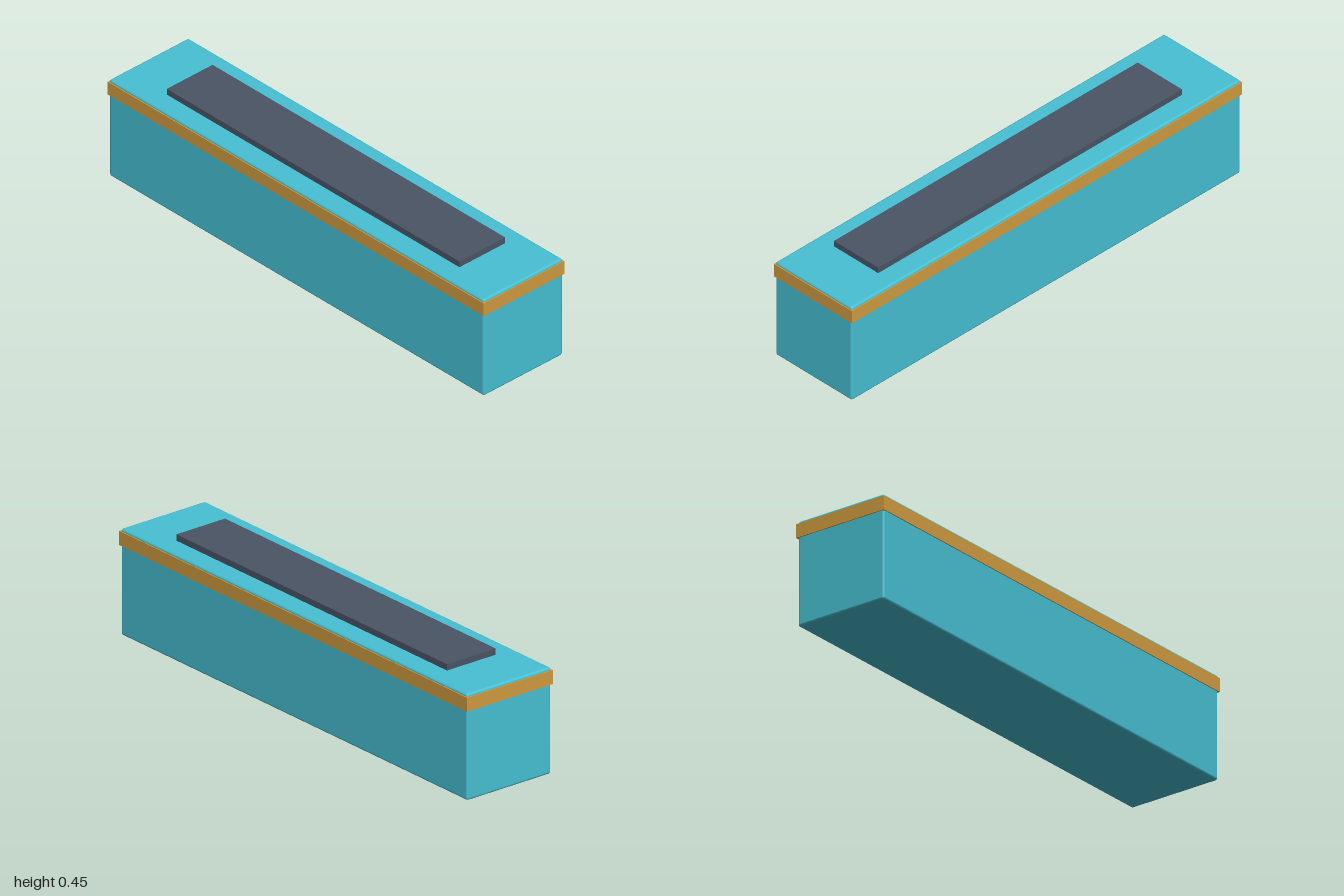
import * as THREE from 'three';
import { RoundedBoxGeometry } from 'three/addons/geometries/RoundedBoxGeometry.js';

function material(name, color) {
  const m = new THREE.MeshStandardMaterial({ color });
  m.name = name;
  return m;
}

export function createModel() {
  const group = new THREE.Group();
  group.name = 'storageCase';

  const teal = material('teal', 0x46c0d3);
  const gold = material('gold', 0xd09c40);
  const slate = material('slate', 0x4a5565);

  // Places a geometry with its underside at height y
  const add = (name, geometry, mat, y) => {
    geometry.computeBoundingBox();
    const mesh = new THREE.Mesh(geometry, mat);
    mesh.name = name;
    mesh.position.y = y - geometry.boundingBox.min.y;
    group.add(mesh);
  };

  // Long body with softly rounded edges
  add('body', new RoundedBoxGeometry(1.992, 0.424, 0.398, 2, 0.01), teal, 0);

  // Trim band standing slightly proud all round
  add('trimBand', new THREE.BoxGeometry(2, 0.056, 0.406), gold, 0.357);

  // Raised plate on top
  add('topPlate', new THREE.BoxGeometry(1.556, 0.029, 0.23), slate, 0.42);

  return group;
}
